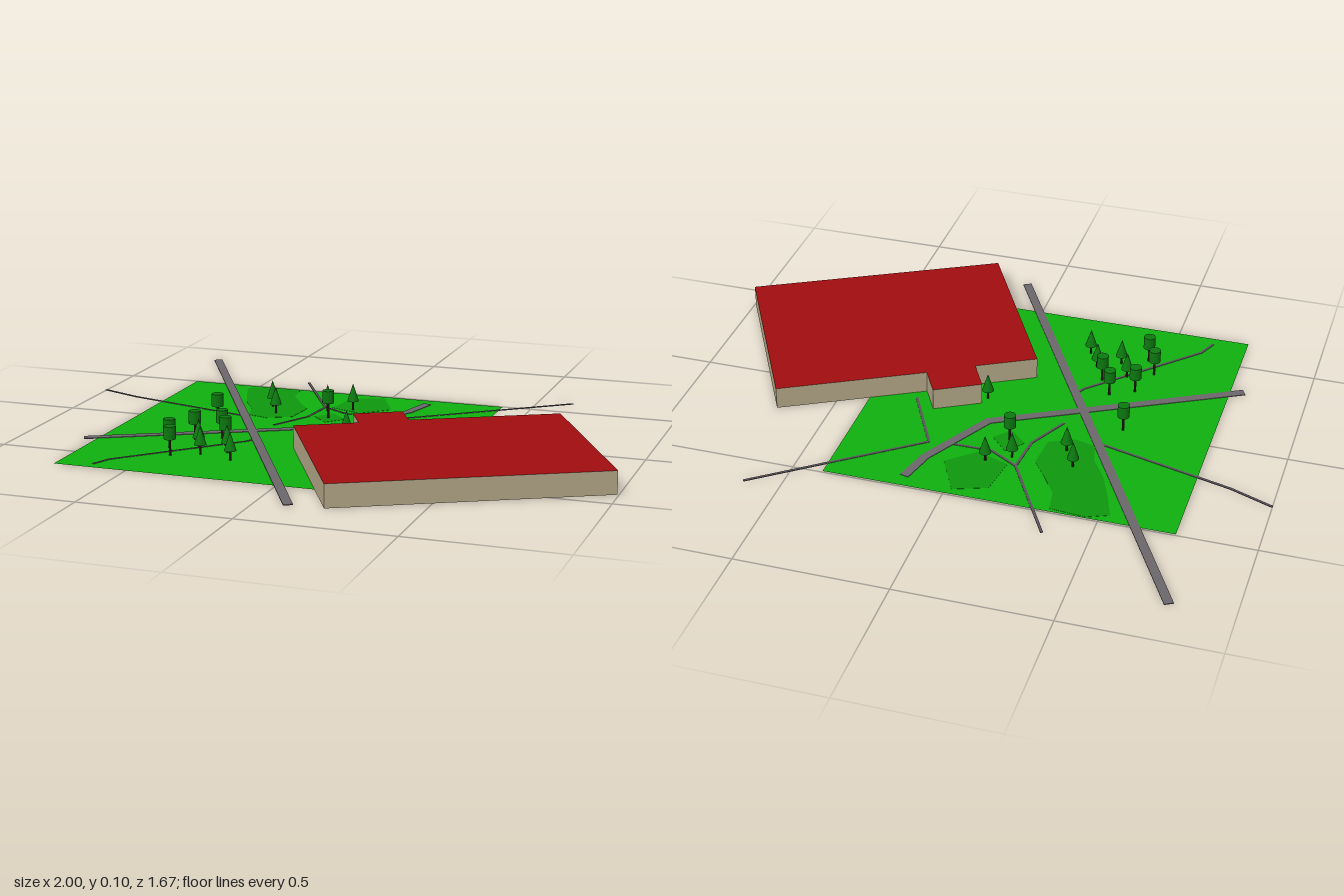
import * as THREE from 'three';

const mat = (color) => new THREE.MeshStandardMaterial({ color, side: THREE.DoubleSide, flatShading: true });
const GRASS = mat(0x10b010), WOOD = mat(0x0e980e), ROAD = mat(0x6b666b), PATH = mat(0x5c555c);
const ROOF = mat(0xa00d10), WALL = mat(0xb0a585), TRUNK = mat(0x3a2a18), LEAF = mat(0x0c780f);

function add(parent, name, geometry, material, x = 0, y = 0, z = 0) {
  const mesh = new THREE.Mesh(geometry, material);
  mesh.name = name;
  mesh.position.set(x, y, z);
  parent.add(mesh);
  return mesh;
}

// Plan outlines are [x, z] pairs laid flat with the face up
const planShape = (pts) => new THREE.Shape(pts.map(([x, z]) => new THREE.Vector2(x, -z)));

// Thin strip along a plan polyline, slightly overlapping at its bends
function strip(parent, name, pts, width, height, material) {
  const group = new THREE.Group();
  group.name = name;
  for (let i = 0; i < pts.length - 1; i++) {
    const [ax, az] = pts[i], [bx, bz] = pts[i + 1];
    const dx = bx - ax, dz = bz - az, len = Math.hypot(dx, dz);
    const e0 = i > 0 ? width * 0.2 : 0, e1 = i < pts.length - 2 ? width * 0.2 : 0;
    const shift = (e1 - e0) / 2 / len;
    const seg = add(group, 'segment', new THREE.BoxGeometry(len + e0 + e1, height, width), material,
      (ax + bx) / 2 + dx * shift, height / 2, (az + bz) / 2 + dz * shift);
    seg.rotation.y = -Math.atan2(dz, dx);
  }
  parent.add(group);
}

export function createModel() {
  const model = new THREE.Group();
  model.name = 'sitePlan';

  // Lawn
  add(model, 'lawn', new THREE.PlaneGeometry(1.146, 1.146).rotateX(-Math.PI / 2), GRASS, -0.172, 0.001, 0.078);

  // Darker planted areas
  const patches = [
    [[-0.53, -0.46], [-0.46, -0.49], [-0.34, -0.48], [-0.33, -0.40], [-0.28, -0.32], [-0.23, -0.25],
      [-0.24, -0.13], [-0.32, -0.09], [-0.39, -0.11], [-0.41, -0.19], [-0.46, -0.27], [-0.50, -0.37]],
    [[-0.13, -0.43], [-0.02, -0.47], [0.05, -0.33], [-0.04, -0.25], [-0.15, -0.29]],
    [[-0.17, -0.16], [-0.12, -0.22], [-0.06, -0.155], [-0.11, -0.10]],
  ];
  for (const p of patches) {
    add(model, 'plantedArea',
      new THREE.ExtrudeGeometry(planShape(p), { depth: 0.0016, bevelEnabled: false }).rotateX(-Math.PI / 2),
      WOOD, 0, 0.0002, 0);
  }

  // Roads and footpaths
  strip(model, 'mainRoad', [[-0.80, -0.83], [0.105, 0.825]], 0.03, 0.003, ROAD);
  strip(model, 'sideRoad', [[-0.79, 0.343], [-0.02, -0.07], [0.115, -0.325], [0.145, -0.445]], 0.03, 0.0028, ROAD);
  const paths = [
    [[-1.0, -0.27], [-0.857, -0.213], [-0.40, -0.09]],
    [[-0.352, -0.605], [-0.177, -0.29], [-0.19, -0.15], [-0.26, -0.01]],
    [[0.622, -0.617], [0.13, -0.24], [0.25, -0.005]],
    [[-0.177, -0.29], [-0.08, -0.23], [0.06, -0.23]],
    [[-0.627, 0.615], [-0.60, 0.55], [-0.27, 0.21], [-0.25, 0.17]],
  ];
  for (const p of paths) strip(model, 'footpath', p, 0.009, 0.0024, PATH);

  // Building: flat roof over thin walls, open below
  const H = 0.075;
  const plan = [[0.675, -0.197], [0.995, 0.403], [0.215, 0.82], [-0.10, 0.232],
    [0.087, 0.13], [0.032, 0.027], [0.177, -0.053], [0.23, 0.043]];
  const building = new THREE.Group();
  building.name = 'building';
  model.add(building);
  add(building, 'roof', new THREE.ShapeGeometry(planShape(plan)).rotateX(-Math.PI / 2), ROOF, 0, H, 0);
  plan.forEach(([ax, az], i) => {
    const [bx, bz] = plan[(i + 1) % plan.length];
    const wall = add(building, 'wall', new THREE.PlaneGeometry(Math.hypot(bx - ax, bz - az), H), WALL,
      (ax + bx) / 2, H / 2, (az + bz) / 2);
    wall.rotation.y = Math.PI - Math.atan2(bz - az, bx - ax);
  });

  // Trees: broadleaf with drum crowns, conifers with cone crowns
  const broadleaf = [[-0.475, 0.365], [-0.438, 0.445], [-0.438, 0.243], [-0.455, 0.008],
    [-0.36, 0.20], [-0.315, 0.28], [-0.118, -0.155]];
  const conifer = [[-0.352, -0.24], [-0.31, -0.16], [-0.152, -0.245], [-0.075, -0.288], [0.022, 0.062],
    [-0.39, 0.325], [-0.278, 0.357], [-0.352, 0.402], [-0.235, 0.437]];
  const trunk = new THREE.CylinderGeometry(0.004, 0.004, 0.06, 8);
  const drum = new THREE.CylinderGeometry(0.02, 0.02, 0.043, 16);
  const cone = new THREE.ConeGeometry(0.02, 0.062, 16);
  const plant = (name, spots, crown, y) => {
    for (const [x, z] of spots) {
      const tree = new THREE.Group();
      tree.name = name;
      tree.position.set(x, 0, z);
      add(tree, 'trunk', trunk, TRUNK, 0, 0.03, 0);
      add(tree, 'crown', crown, LEAF, 0, y, 0);
      model.add(tree);
    }
  };
  plant('broadleafTree', broadleaf, drum, 0.0765);
  plant('coniferTree', conifer, cone, 0.064);

  return model;
}
